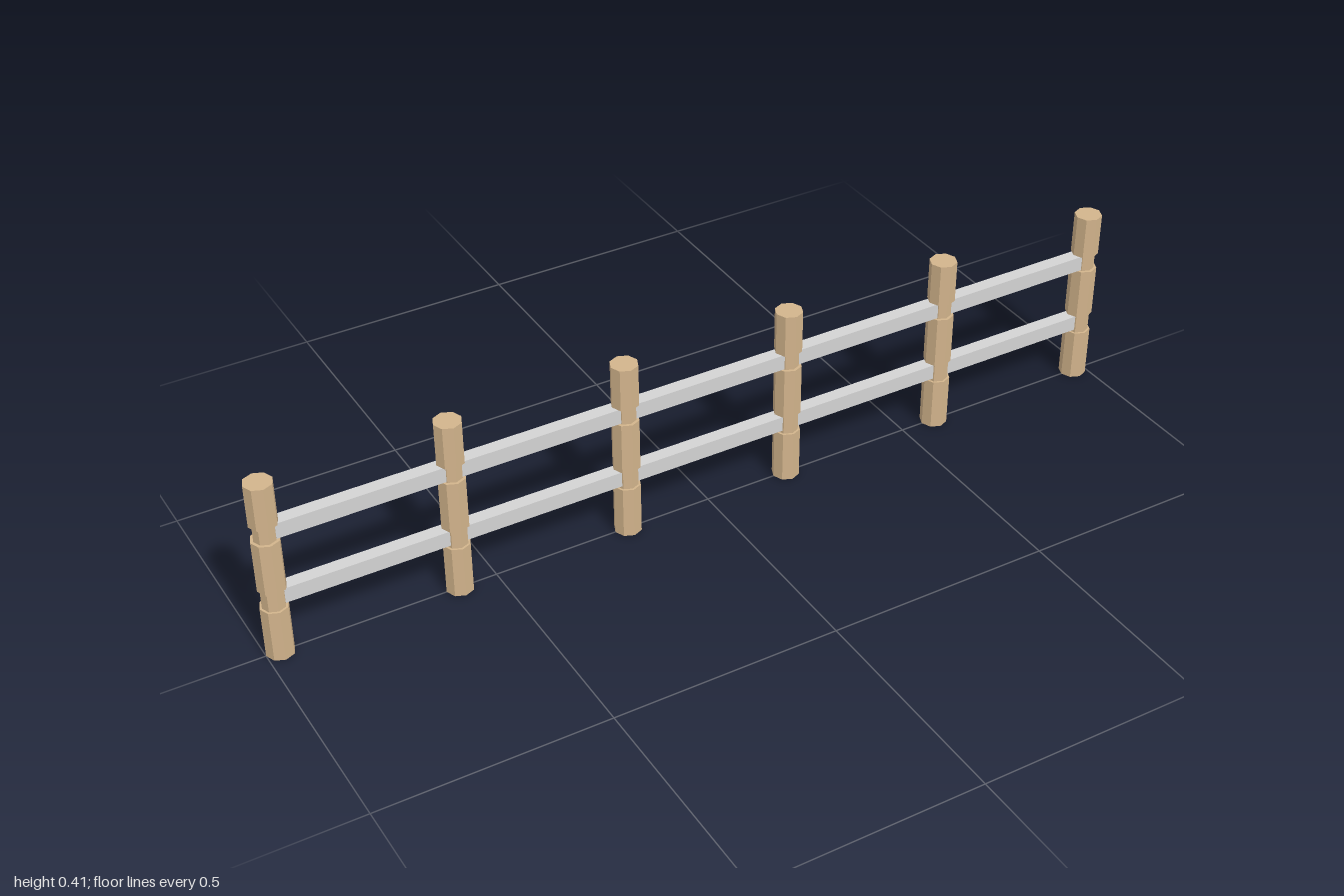
import * as THREE from 'three';

export function createModel() {
  const fence = new THREE.Group();
  fence.name = 'fence';

  const wood = new THREE.MeshStandardMaterial({ color: 0xd2b48c, flatShading: true });
  wood.name = 'tan wood';
  const grey = new THREE.MeshStandardMaterial({ color: 0xd3d3d3, flatShading: true });
  grey.name = 'light grey';

  // Octagonal post with a narrower neck where each rail passes through
  const profile = [
    [0, 0], [0.03, 0],
    [0.03, 0.118], [0.025, 0.118], [0.025, 0.162], [0.03, 0.162],
    [0.03, 0.28], [0.0235, 0.28], [0.0235, 0.317], [0.03, 0.317],
    [0.03, 0.413], [0, 0.413],
  ].map(([r, y]) => new THREE.Vector2(r, y));
  const postGeometry = new THREE.LatheGeometry(profile, 8);

  const postCount = 6;
  const span = 1.94;
  for (let i = 0; i < postCount; i++) {
    const post = new THREE.Mesh(postGeometry, wood);
    post.name = `post${i + 1}`;
    post.position.x = -span / 2 + (i * span) / (postCount - 1);
    fence.add(post);
  }

  // Two square rails running between the end posts
  const railGeometry = new THREE.BoxGeometry(span, 0.035, 0.03);
  for (const [name, y] of [['lowerRail', 0.142], ['upperRail', 0.299]]) {
    const rail = new THREE.Mesh(railGeometry, grey);
    rail.name = name;
    rail.position.y = y;
    fence.add(rail);
  }

  return fence;
}
